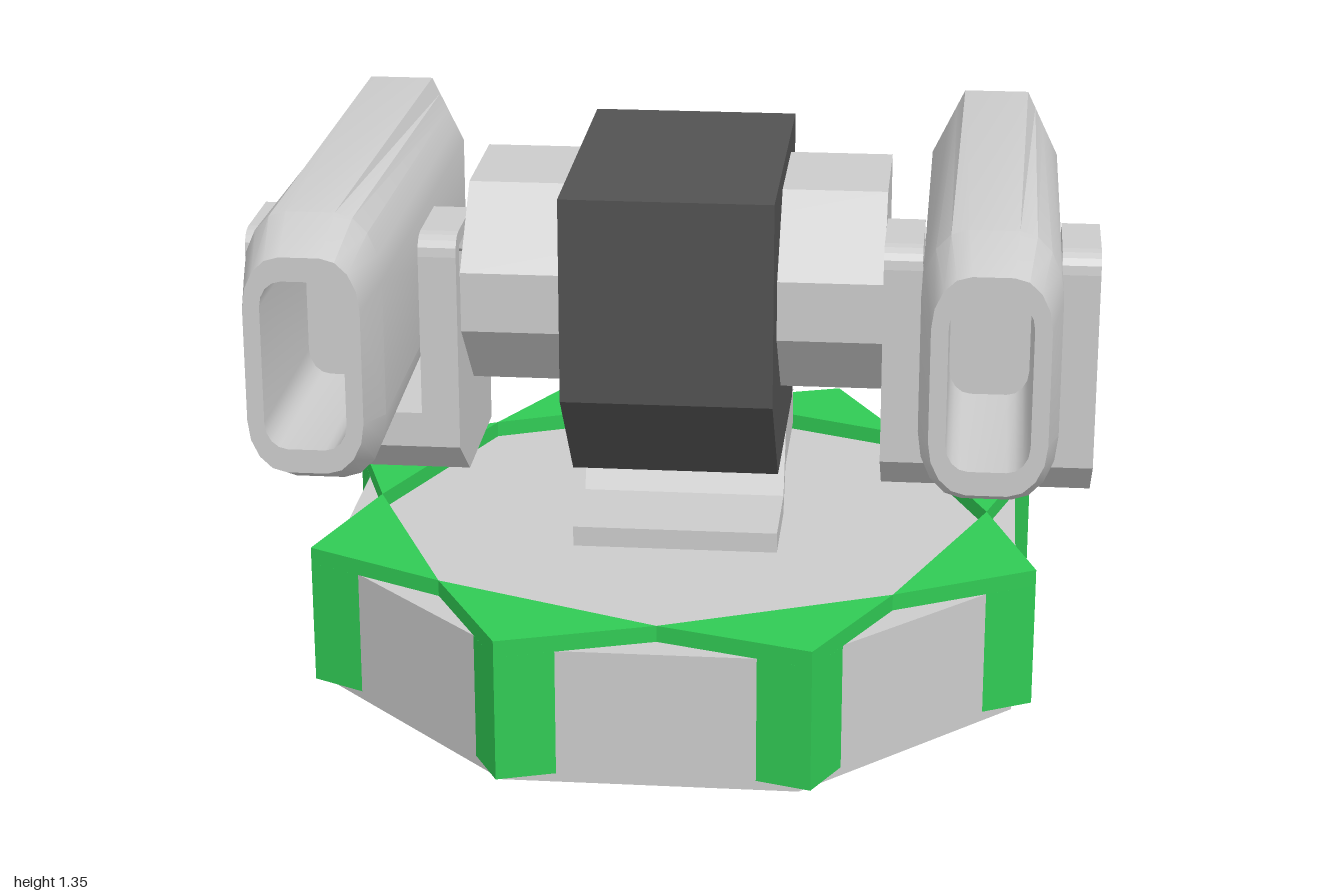
import * as THREE from 'three';
import { toCreasedNormals } from 'three/addons/utils/BufferGeometryUtils.js';

const grey = new THREE.MeshStandardMaterial({ color: 0xcccccc });
const green = new THREE.MeshStandardMaterial({ color: 0x30ca54 });
const dark = new THREE.MeshStandardMaterial({ color: 0x525252 });

function add(parent, name, geometry, material = grey) {
  const mesh = new THREE.Mesh(geometry, material);
  mesh.name = name;
  parent.add(mesh);
  return mesh;
}

const toShape = (points) => new THREE.Shape(points.map(([a, b]) => new THREE.Vector2(a, b)));

// Side profile in (z, y), extruded from x0 to x1
function sideExtrude(shape, x0, x1) {
  const g = new THREE.ExtrudeGeometry(shape, { depth: x1 - x0, bevelEnabled: false, curveSegments: 4 });
  return g.rotateY(-Math.PI / 2).translate(x1, 0, 0);
}

// Plan outline extruded upwards from y0 to y1
function planExtrude(points, y0, y1) {
  const g = new THREE.ExtrudeGeometry(toShape(points), { depth: y1 - y0, bevelEnabled: false });
  return g.rotateX(-Math.PI / 2).translate(0, y0, 0);
}

// Rectangle outline with cut (round = 0) or rounded (round = 1) corners
function ring({ z, w, h, rx = 0, ry = 0, round = 1, y = 1.033 }) {
  const points = [], steps = 4;
  for (let c = 0; c < 4; c++) {
    const sx = c === 0 || c === 3 ? 1 : -1, sy = c < 2 ? 1 : -1;
    for (let i = 0; i <= steps; i++) {
      const t = c % 2 ? 1 - i / steps : i / steps, a = t * Math.PI / 2;
      const px = THREE.MathUtils.lerp(1 - t, Math.cos(a), round);
      const py = THREE.MathUtils.lerp(t, Math.sin(a), round);
      points.push([sx * (w - rx + rx * px), y + sy * (h - ry + ry * py), z]);
    }
  }
  return points;
}

// Skin through successive rings
function loft(rings) {
  const n = rings[0].length, index = [];
  for (let i = 0; i < rings.length - 1; i++) {
    for (let j = 0; j < n; j++) {
      const a = i * n + j, b = i * n + (j + 1) % n;
      index.push(a, b, b + n, a, b + n, a + n);
    }
  }
  const g = new THREE.BufferGeometry();
  g.setAttribute('position', new THREE.Float32BufferAttribute(rings.flat(2), 3));
  g.setIndex(index);
  return toCreasedNormals(g, 0.45);
}

function createGunPod() {
  const pod = new THREE.Group();

  // Barrel: chamfered at the back, rounded at the muzzle, with a deep bore
  add(pod, 'barrel', loft([
    ring({ z: -0.42, w: 0, h: 0 }),
    ring({ z: -0.42, w: 0.155, h: 0.312, rx: 0.077, ry: 0.16, round: 0 }),
    ring({ z: 0.76, w: 0.155, h: 0.312, rx: 0.1, ry: 0.155 }),
    ring({ z: 0.9, w: 0.13, h: 0.25, rx: 0.085, ry: 0.12 }),
    ring({ z: 0.9, w: 0.092, h: 0.195, rx: 0.05, ry: 0.06 }),
    ring({ z: 0.4, w: 0.092, h: 0.195, rx: 0.05, ry: 0.06 }),
    ring({ z: 0.4, w: 0, h: 0 }),
  ]));

  // Bracket arm with a raised lug and a notched window
  const arm = toShape([[-0.17, 0.53], [0.19, 0.53], [0.33, 0.635], [0.33, 1.11]]);
  arm.quadraticCurveTo(0.33, 1.16, 0.28, 1.16);
  arm.lineTo(0.085, 1.16);
  arm.lineTo(0.085, 1.065);
  arm.quadraticCurveTo(0.085, 1.035, 0.055, 1.035);
  arm.lineTo(-0.17, 1.035);
  arm.holes.push(toShape([[0.28, 1.125], [0.18, 1.125], [0.18, 1.085], [0.15, 1.07],
    [0.15, 1.02], [0.25, 1.02], [0.28, 1.05]]));
  add(pod, 'bracketArm', sideExtrude(arm, 0.16, 0.25));
  add(pod, 'bracketArm', sideExtrude(arm, -0.25, -0.16));

  const floor = toShape([[-0.17, 0.53], [0.19, 0.53], [0.33, 0.635], [0.33, 0.72], [-0.17, 0.72]]);
  add(pod, 'bracketFloor', sideExtrude(floor, -0.16, 0.16));
  return pod;
}

export function createModel() {
  const model = new THREE.Group();
  model.name = 'twinTurret';

  // Octagonal base with a green corner guard at each corner
  const base = new THREE.Group();
  base.name = 'base';
  base.position.z = -0.025;
  model.add(base);
  const plinth = new THREE.CylinderGeometry(0.898, 0.898, 0.33, 8).toNonIndexed();
  plinth.computeVertexNormals();
  add(base, 'plinth', plinth.rotateY(Math.PI / 8).translate(0, 0.165, 0));

  const cap = planExtrude([[0, 0.945], [-0.29, 0.7], [0.29, 0.7]], 0.33, 0.37);
  const leg = planExtrude([[0, 0.945], [-0.108, 0.854], [0, 0.85], [0.108, 0.854]], 0.023, 0.33);
  for (let i = 0; i < 8; i++) {
    const guard = new THREE.Group();
    guard.name = 'cornerGuard';
    guard.rotation.y = (i + 0.5) * Math.PI / 4 + 0.013;
    add(guard, 'guardCap', cap, green);
    add(guard, 'guardLeg', leg, green);
    base.add(guard);
  }

  // Bent foot joining the base to the head
  add(model, 'foot', sideExtrude(toShape([[0.18, 0.38], [0.18, 0.33], [-0.075, 0.33], [-0.14, 0.435],
    [-0.445, 0.435], [-0.445, 0.53], [-0.145, 0.53], [-0.07, 0.38]]), -0.25, 0.25));

  // Dark head with a sloping chin
  add(model, 'head', sideExtrude(toShape([[0.4, 1.28], [0.4, 0.785], [0.165, 0.53],
    [-0.4, 0.53], [-0.4, 1.28]]), -0.25, 0.25), dark);

  // Cross axle carrying both pods
  add(model, 'axle', sideExtrude(toShape([[-0.225, 0.735], [0.1, 0.735], [0.275, 0.91], [0.275, 1.055],
    [0.1, 1.23], [-0.225, 1.23]]), -0.5, 0.5));

  for (const side of [1, -1]) {
    const pod = createGunPod();
    pod.name = side > 0 ? 'leftGunPod' : 'rightGunPod';
    pod.position.x = side * 0.75;
    model.add(pod);
  }
  return model;
}
